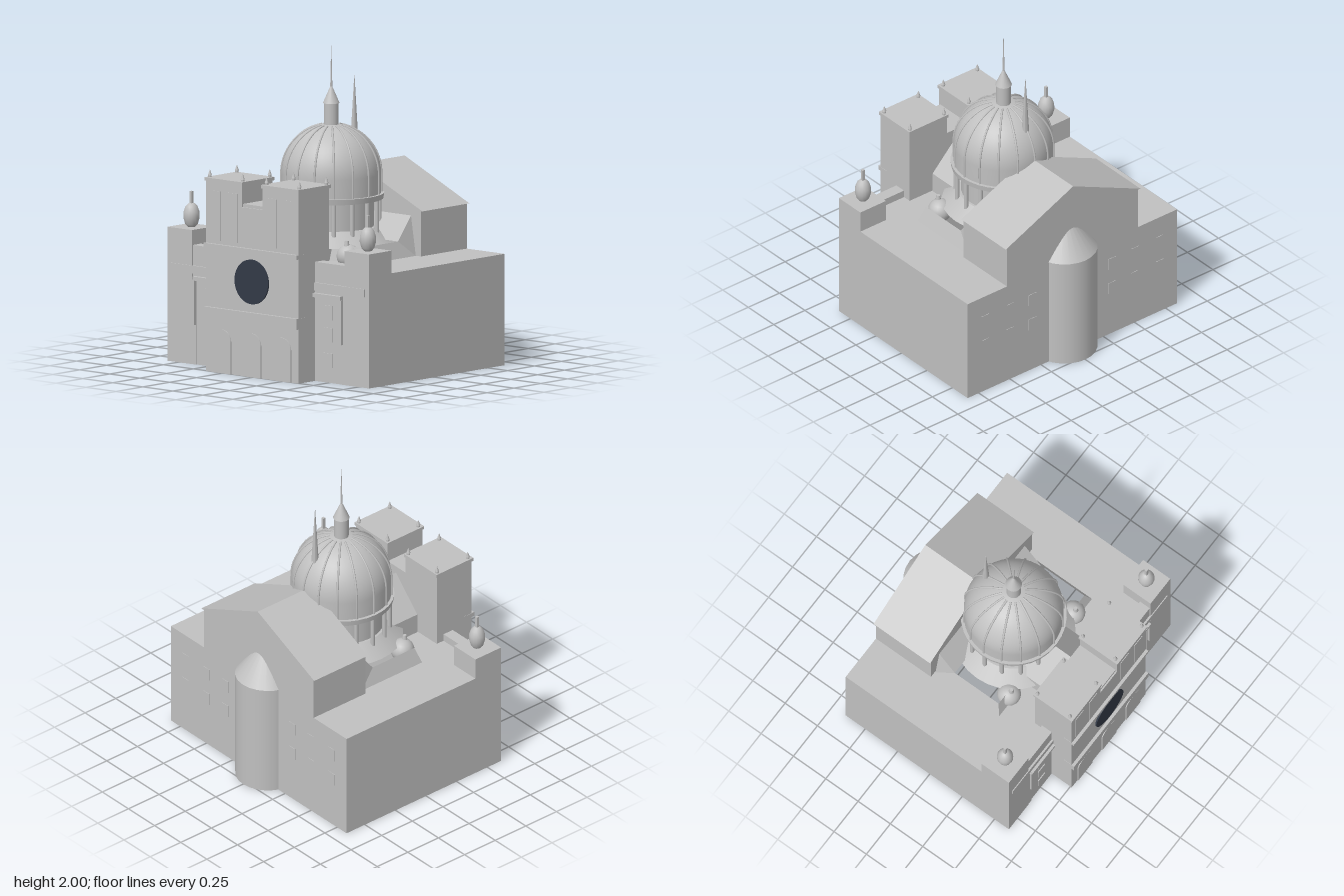
import * as THREE from 'three';

export function createModel() {
  const root = new THREE.Group();
  const stone = new THREE.MeshStandardMaterial({ color: 0xc0c0c0 });
  stone.name = 'grey stone';
  const glass = new THREE.MeshStandardMaterial({ color: 0x333a47 });
  glass.name = 'dark glass';

  const add = (name, geo, x = 0, y = 0, z = 0, mat = stone) => {
    const m = new THREE.Mesh(geo, mat);
    m.name = name;
    m.position.set(x, y, z);
    root.add(m);
    return m;
  };
  // Box given by its limits
  const box = (name, x0, x1, y0, y1, z0, z1) =>
    add(name, new THREE.BoxGeometry(x1 - x0, y1 - y0, z1 - z0), (x0 + x1) / 2, (y0 + y1) / 2, (z0 + z1) / 2);
  // The same box on both sides of the middle
  const pair = (name, x0, x1, y0, y1, z0, z1) => {
    box(name, x0, x1, y0, y1, z0, z1);
    box(name, -x1, -x0, y0, y1, z0, z1);
  };
  const cyl = (name, rTop, rBottom, y0, y1, x, z, sides = 24) =>
    add(name, new THREE.CylinderGeometry(rTop, rBottom, y1 - y0, sides), x, (y0 + y1) / 2, z);
  // Gabled roof running along z
  const gable = (name, halfWidth, eave, ridge, z0, z1) => {
    const s = new THREE.Shape([[-halfWidth, eave], [halfWidth, eave], [0, ridge]].map(p => new THREE.Vector2(...p)));
    add(name, new THREE.ExtrudeGeometry(s, { depth: z1 - z0, bevelEnabled: false }), 0, 0, z0);
  };
  // Flat convex polygon, corners anticlockwise from outside
  const polygon = (name, pts) => {
    const g = new THREE.BufferGeometry();
    g.setAttribute('position', new THREE.Float32BufferAttribute(pts.flat(), 3));
    const index = [];
    for (let i = 1; i < pts.length - 1; i++) index.push(0, i, i + 1);
    g.setIndex(index);
    const flat = g.toNonIndexed();
    flat.computeVertexNormals();
    add(name, flat);
  };

  // Main block: open-topped box with a roof deck pierced at the crossing
  const block = new THREE.BoxGeometry(1.68, 0.7, 1.255);
  const kept = Array.from(block.index.array).filter((_, i) => i < 12 || i > 17);
  block.setIndex(kept);
  block.clearGroups();
  add('mainBlock', block, 0, 0.35, -0.0225);
  const rect = (C, x, a, b) => new C([[-x, a], [x, a], [x, b], [-x, b]].map(p => new THREE.Vector2(...p)));
  const deck = rect(THREE.Shape, 0.84, -0.605, 0.65);
  deck.holes.push(rect(THREE.Path, 0.485, -0.27, 0.22));
  add('roofDeck', new THREE.ShapeGeometry(deck).rotateX(-Math.PI / 2), 0, 0.7, 0);

  // Sloped skirt around the crossing
  const b = 0.485, t = 0.445;
  polygon('skirtFront', [[-b, 0.7, 0.27], [b, 0.7, 0.27], [t, 0.8, 0.24], [-t, 0.8, 0.24]]);
  polygon('skirtBack', [[-t, 0.8, -0.1], [t, 0.8, -0.1], [t, 0.95, -0.22], [-t, 0.95, -0.22]]);
  const side = [[b, 0.7, 0.27], [b, 0.7, -0.22], [t, 0.8, -0.1], [t, 0.8, 0.24]];
  const wedge = [[b, 0.7, -0.22], [t, 0.95, -0.22], [t, 0.8, -0.1]];
  for (const f of [side, wedge]) {
    polygon('skirtSide', f);
    polygon('skirtSide', f.map(([x, y, z]) => [-x, y, z]).reverse());
  }

  // Rear hall, front arm and apse
  box('rearHall', -0.525, 0.525, 0.7, 0.99, -0.65, -0.225);
  gable('rearRoof', 0.54, 0.985, 1.23, -0.658, -0.22);
  box('frontArm', -0.205, 0.205, 0.7, 0.83, 0.2, 0.47);
  gable('frontArmRoof', 0.205, 0.83, 1.04, 0.2, 0.47);
  cyl('apse', 0.205, 0.205, 0, 0.74, 0, -0.573, 24);
  cyl('apseRoof', 0, 0.207, 0.74, 1.02, 0, -0.573, 24);

  // Drum, columns and dome
  const dz = 0.025;
  cyl('drumFlare', 0.28, 0.385, 0.78, 0.87, 0, dz, 32);
  cyl('drum', 0.265, 0.265, 0.8, 1.06, 0, dz, 32);
  cyl('drumCornice', 0.33, 0.325, 1.045, 1.08, 0, dz, 32);
  const profile = [new THREE.Vector2(0.31, 1.08)];
  for (let i = 0; i <= 14; i++) {
    const a = (i / 14) * Math.PI / 2;
    profile.push(new THREE.Vector2(0.31 * Math.cos(a), 1.2 + 0.31 * Math.sin(a)));
  }
  add('dome', new THREE.LatheGeometry(profile, 48), 0, 0, dz);
  const ribPath = new THREE.CatmullRomCurve3(profile.slice(0, -2).map(p => new THREE.Vector3(p.x + 0.002, p.y + 0.001, 0)));
  const ribGeo = new THREE.TubeGeometry(ribPath, 20, 0.007, 6);
  for (let i = 0; i < 16; i++) {
    const a = (i / 16) * Math.PI * 2;
    add('domeRib', ribGeo, 0, 0, dz).rotation.y = a;
    cyl('drumColumn', 0.014, 0.014, 0.82, 1.05, 0.3 * Math.cos(a), dz + 0.3 * Math.sin(a), 10);
  }
  cyl('lantern', 0.046, 0.046, 1.49, 1.64, 0, dz, 20);
  cyl('lanternRoof', 0.006, 0.052, 1.64, 1.745, 0, dz, 20);
  cyl('lanternSpire', 0.001, 0.007, 1.74, 2, 0, dz, 8);
  cyl('rearSpire', 0.001, 0.038, 1.15, 1.79, 0, -0.19, 8);

  // Twin-towered front
  box('facade', -0.385, 0.385, 0, 1.06, 0.475, 0.76);
  box('facadeParapet', -0.085, 0.085, 1.055, 1.08, 0.475, 0.75);
  pair('tower', 0.085, 0.385, 1.06, 1.2, 0.475, 0.76);
  pair('towerCap', 0.078, 0.393, 1.197, 1.218, 0.468, 0.768);
  box('upperBand', -0.387, 0.387, 0.78, 0.808, 0.7, 0.78);
  box('lowerBand', -0.387, 0.387, 0.34, 0.408, 0.7, 0.78);
  for (const s of [-1, 1]) {
    for (const x of [0.1, 0.373]) for (const z of [0.487, 0.738]) {
      cyl('finialBase', 0.011, 0.011, 1.215, 1.232, s * x, z, 8);
      cyl('finial', 0.001, 0.013, 1.23, 1.265, s * x, z, 8);
    }
    for (const x of [0.165, 0.305])
      box('belfryPanel', s * x - 0.04, s * x + 0.04, 0.83, 1.14, 0.758, 0.764);
  }
  // Arched doorways
  const arch = new THREE.Shape();
  arch.moveTo(-0.075, 0);
  arch.lineTo(0.075, 0);
  arch.lineTo(0.075, 0.2);
  arch.absarc(0, 0.2, 0.075, 0, Math.PI, false);
  const archGeo = new THREE.ExtrudeGeometry(arch, { depth: 0.008, bevelEnabled: false });
  for (const x of [-0.25, 0, 0.25]) add('archedDoor', archGeo, x, 0, 0.758);
  // Round window
  add('roundWindow', new THREE.CylinderGeometry(0.14, 0.14, 0.014, 40).rotateX(Math.PI / 2), 0, 0.6, 0.763, glass);

  // Side wings of the front
  pair('wingParapet', 0.385, 0.64, 0.69, 0.748, 0.53, 0.605);
  pair('wingEntablature', 0.385, 0.805, 0.57, 0.62, 0.59, 0.618);
  pair('wingMoulding', 0.385, 0.615, 0.53, 0.555, 0.59, 0.632);
  pair('wingPilaster', 0.605, 0.62, 0.25, 0.53, 0.59, 0.625);
  pair('wingPier', 0.6, 0.635, 0, 0.53, 0.59, 0.61);
  for (const y of [0.14, 0.3, 0.44]) pair('wingWindow', 0.46, 0.53, y - 0.045, y + 0.045, 0.6, 0.611);

  // Corner pylons with urns, and small turrets beside the dome
  pair('pylon', 0.635, 0.84, 0, 0.842, 0.402, 0.612);
  for (const s of [-1, 1]) {
    const urn = [[0.001, 0.84], [0.025, 0.842], [0.04, 0.86], [0.051, 0.9], [0.05, 0.935], [0.038, 0.97], [0.02, 0.988], [0.001, 0.992]];
    add('urn', new THREE.LatheGeometry(urn.map(p => new THREE.Vector2(...p)), 16), s * 0.735, 0, 0.505);
    box('urnPost', s * 0.735 - 0.009, s * 0.735 + 0.009, 0.98, 1.065, 0.496, 0.514);
    add('turretDome', new THREE.SphereGeometry(0.075, 20, 12), s * 0.335, 0.735, 0.238);
    cyl('turretFinial', 0.012, 0.018, 0.8, 0.835, s * 0.335, 0.255, 10);
  }

  // Shallow windows on the back wall
  for (const x of [0.32, 0.5, 0.7]) for (const y of [0.34, 0.52])
    pair('backWindow', x - 0.03, x + 0.03, y - 0.04, y + 0.04, -0.653, -0.645);

  return root;
}
